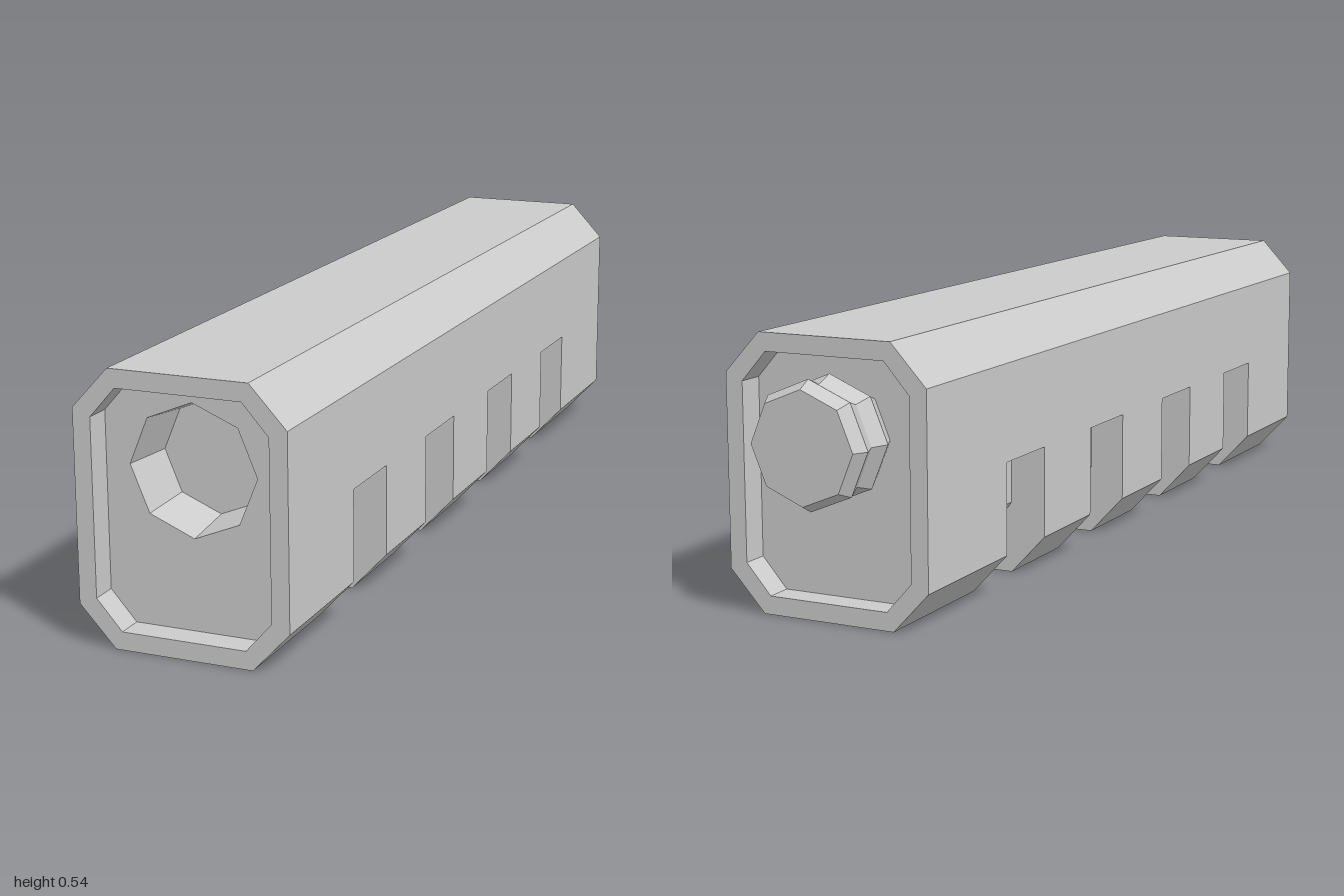
import * as THREE from 'three';

const FRONT = 1, BACK = -0.92, RECESS = 0.055, SOCKET = 0.11, AXIS_Y = 0.345;

const material = new THREE.MeshStandardMaterial({ color: 0xcccccc, flatShading: true });
const openMaterial = new THREE.MeshStandardMaterial({ color: 0xcccccc, flatShading: true, side: THREE.DoubleSide });

// Rectangle with cut corners
function chamferedPoints(w, y0, y1, cx, cy) {
  return [
    [w - cx, y0], [w, y0 + cy], [w, y1 - cy], [w - cx, y1],
    [cx - w, y1], [-w, y1 - cy], [-w, y0 + cy], [cx - w, y0],
  ].map(([x, y]) => new THREE.Vector2(x, y));
}

const outer = () => chamferedPoints(0.214, 0, 0.538, 0.074, 0.08);
const inner = () => chamferedPoints(0.178, 0.036, 0.502, 0.052, 0.059);

// Octagon with a corner pointing straight up
function octagonPoints(r) {
  return Array.from({ length: 8 }, (_, i) => {
    const a = (i * Math.PI) / 4;
    return new THREE.Vector2(r * Math.cos(a), AXIS_Y + r * Math.sin(a));
  });
}

// Body cross-section where a notch wraps round the lower half
function notchedPoints() {
  const right = [
    [0.09, 0.075], [0.14, 0.145], [0.14, 0.265], [0.214, 0.265], [0.214, 0.458], [0.14, 0.538],
  ];
  const left = right.map(([x, y]) => [-x, y]).reverse();
  return [...right, ...left].map(([x, y]) => new THREE.Vector2(x, y));
}

export function createModel() {
  const group = new THREE.Group();

  function add(name, geometry, mat = material) {
    const mesh = new THREE.Mesh(geometry, mat);
    mesh.name = name;
    group.add(mesh);
    return mesh;
  }

  // Extrude a section between two z positions
  function slab(name, points, zA, zB, holePoints) {
    const shape = new THREE.Shape(points);
    if (holePoints) shape.holes.push(new THREE.Path(holePoints));
    const geometry = new THREE.ExtrudeGeometry(shape, { depth: zA - zB, bevelEnabled: false });
    geometry.translate(0, 0, zB);
    return add(name, geometry);
  }

  // Recessed front with an octagonal opening
  const frontFloor = FRONT - RECESS;
  const socketFloor = frontFloor - SOCKET;
  slab('frontRim', outer(), FRONT, frontFloor, inner());
  slab('socketPlate', outer(), frontFloor, socketFloor, octagonPoints(0.129));

  // Tapered wall of the socket
  const wall = new THREE.CylinderGeometry(0.129, 0.115, SOCKET, 8, 1, true);
  wall.rotateX(Math.PI / 2);
  wall.translate(0, AXIS_Y, (frontFloor + socketFloor) / 2);
  add('socketWall', wall, openMaterial);

  // Full sections alternating with notched sections
  const notches = [[0.705, 0.54], [0.323, 0.158], [-0.06, -0.225], [-0.443, -0.608]];
  let z = socketFloor;
  for (const [zA, zB] of notches) {
    slab('bodySection', outer(), z, zA);
    slab('notchSection', notchedPoints(), zA, zB);
    z = zB;
  }
  const backFloor = BACK + RECESS;
  slab('bodySection', outer(), z, backFloor);
  slab('backRim', outer(), backFloor, BACK, inner());

  // Peg with two ridges on the back, from its root to its tip
  const profile = [
    [0, backFloor], [0.106, backFloor], [0.122, -0.9], [0.108, -0.935], [0.123, -0.972], [0.108, -1], [0, -1],
  ].map(([r, pz]) => new THREE.Vector2(r, -pz));
  const peg = new THREE.LatheGeometry(profile, 8);
  peg.rotateX(-Math.PI / 2);
  peg.translate(0, AXIS_Y, 0);
  add('backPeg', peg, openMaterial);

  return group;
}
